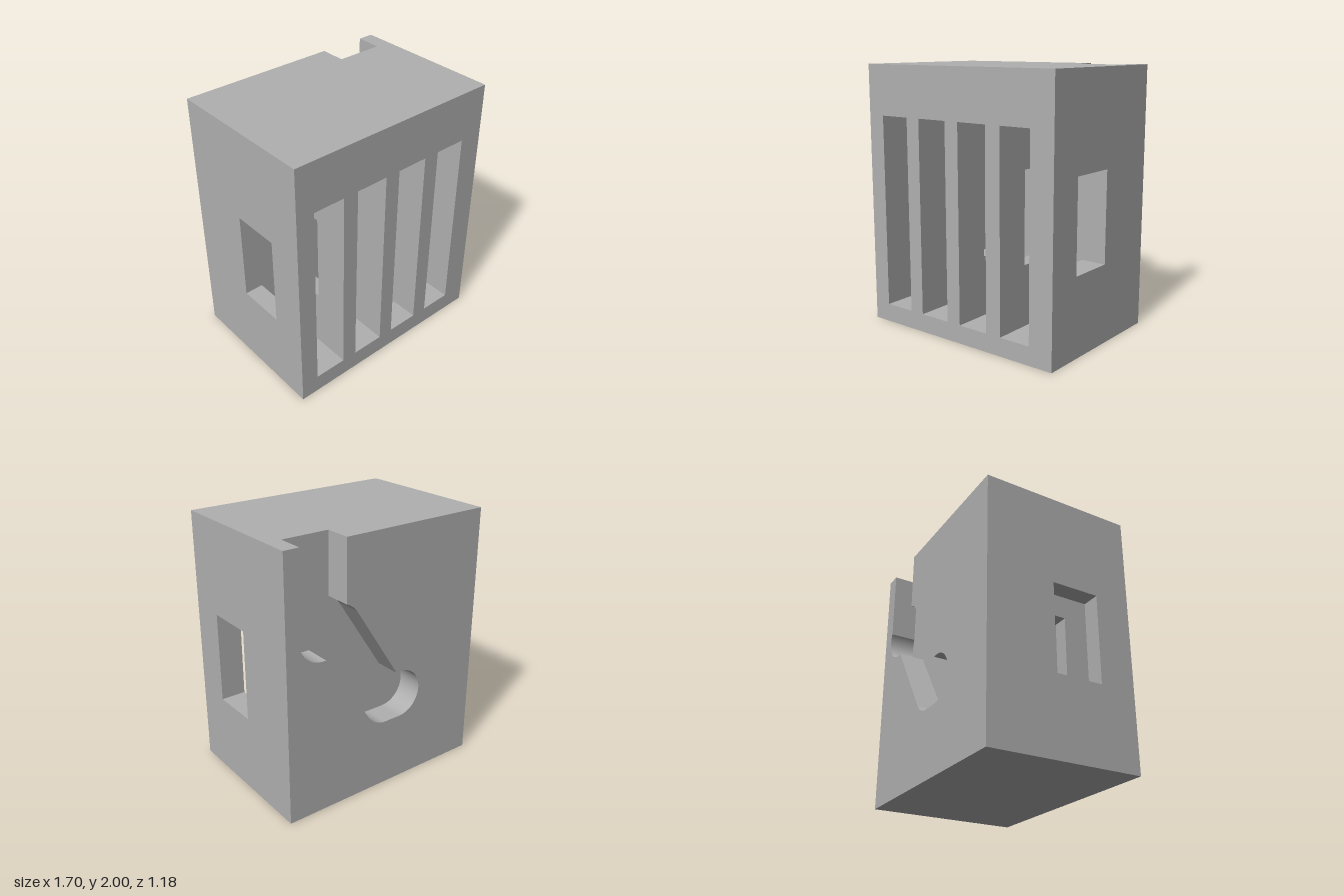
import * as THREE from 'three';

const W = 0.85, H = 2, D = 0.59;      // half width, height, half depth
const FLOOR = -0.39, POCKET = -0.15;  // z of the groove floor and of the slot backs
const Y0 = 0.14, Y1 = 1.62;           // slot bottom and top

export function createModel() {
  const group = new THREE.Group();
  const grey = new THREE.MeshStandardMaterial({ color: 0xb0b0b0 });
  grey.name = 'plain grey';

  const add = (name, geometry) => {
    const mesh = new THREE.Mesh(geometry, grey);
    mesh.name = name;
    group.add(mesh);
    return mesh;
  };
  const slab = (name, y0, y1, z0, z1) =>
    add(name, new THREE.BoxGeometry(2 * W, y1 - y0, z1 - z0))
      .position.set(0, (y0 + y1) / 2, (z0 + z1) / 2);
  const rect = (path, x0, y0, x1, y1) =>
    path.moveTo(x0, y0).lineTo(x1, y0).lineTo(x1, y1).lineTo(x0, y1).closePath();

  // Back plate, cut by the guide groove that opens at the top
  const r = 0.187;
  const back = new THREE.Shape();
  back.moveTo(-W, 0).lineTo(W, 0).lineTo(W, H).lineTo(0.73, H);
  back.absarc(0.56, 1.37, r, 0.43, -1.7, true);               // upper bulge
  back.absarc(0, 0.715, r, -0.582, -Math.PI / 2, true);       // lower bend
  back.absarc(-0.13, 0.715, r, -Math.PI / 2, -1.5 * Math.PI - 0.19, true); // rounded end
  back.absarc(0.43, 1.365, r, 2.56, 1.926, true);             // upper bend
  back.lineTo(0.365, H).lineTo(-W, H).closePath();
  add('groovedBackPlate', new THREE.ExtrudeGeometry(back, {
    depth: FLOOR + D, bevelEnabled: false, curveSegments: 32,
  })).position.z = -D;

  // Solid core between groove and slots
  slab('core', 0, H, FLOOR, POCKET);

  // Solid bottom and top of the front half
  slab('frontBase', 0, Y0, POCKET, D);
  slab('frontTop', Y1, H, POCKET, D);

  // Upright walls between the slots, each pierced by the cross window
  const walls = [[-W, -0.71], [-0.46, -0.34], [-0.085, 0.035], [0.285, 0.41], [0.66, W]];
  for (const [x0, x1] of walls) {
    const side = new THREE.Shape();
    rect(side, -D, Y0, -POCKET, Y1);
    const window = new THREE.Path();
    rect(window, -0.31, 0.6, 0.06, 1.29);
    side.holes.push(window);
    const geometry = new THREE.ExtrudeGeometry(side, { depth: x1 - x0, bevelEnabled: false });
    geometry.rotateY(Math.PI / 2);
    add('slotWall', geometry).position.x = x0;
  }

  return group;
}
